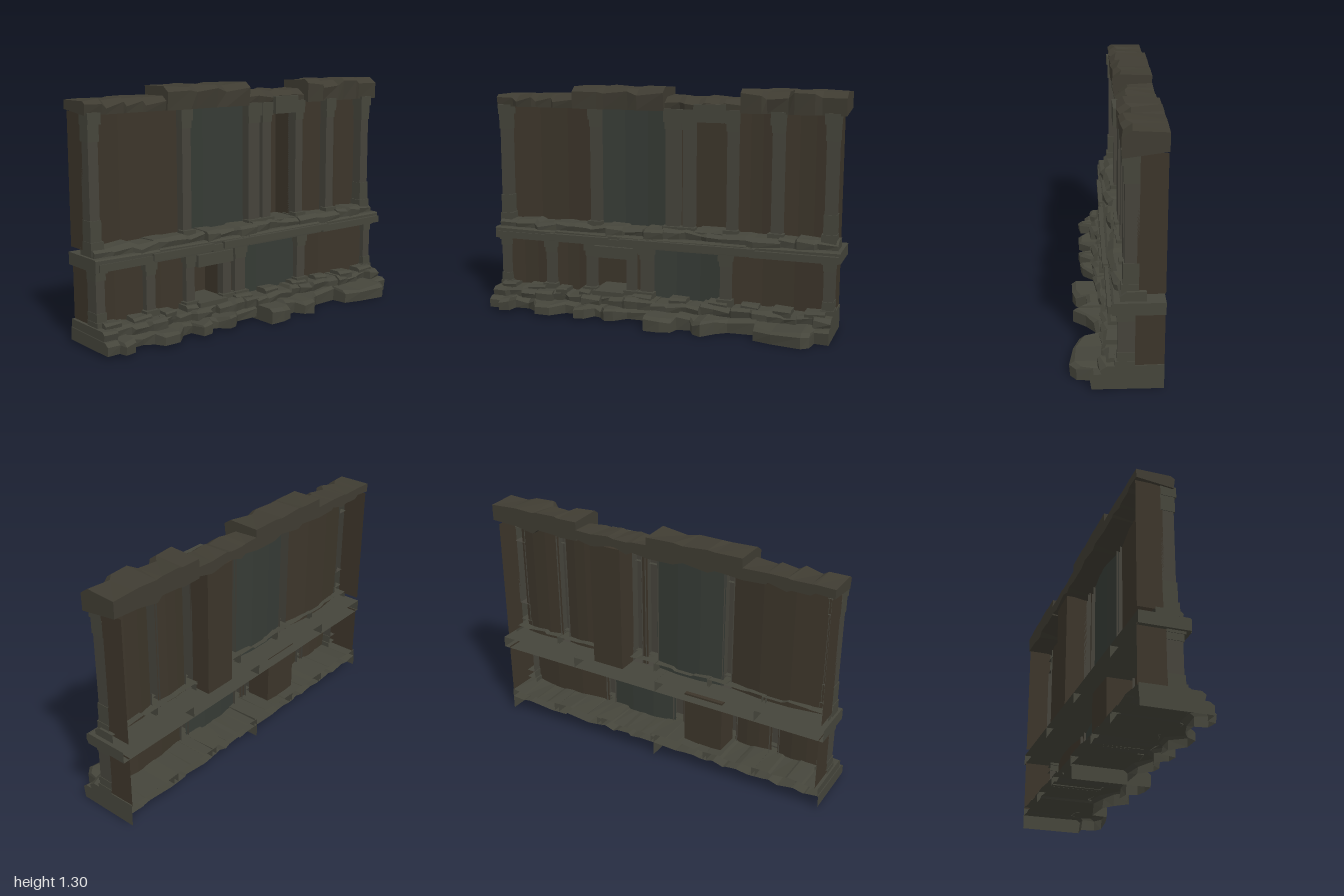
import * as THREE from 'three';

const mat = (color) => new THREE.MeshStandardMaterial({ color, flatShading: true, side: THREE.DoubleSide });
const BACK = -0.225;

export function createModel() {
  const root = new THREE.Group();
  const stoneMat = mat(0x45453b), trimMat = mat(0x45433b), capMat = mat(0x3f3c32);
  const brown = mat(0x3c352a), green = mat(0x363b35);

  let seed = 7;
  const rnd = () => (seed = (seed * 16807) % 2147483647) / 2147483647;

  const group = (name) => {
    const g = new THREE.Group();
    g.name = name;
    root.add(g);
    return g;
  };
  const add = (parent, geo, material, name) => {
    const m = new THREE.Mesh(geo, material);
    m.name = name;
    parent.add(m);
    return m;
  };

  // Irregular row of stones: a chamfered side profile swept through [x, frontZ, topY] sections.
  // The underside and the back are optional; lift raises the rear bottom edge at random.
  function rock(parent, name, sections, y0, { j = 0.012, c = 0.02, zb = BACK, under = false, back = false, lift = 0, material = stoneMat } = {}) {
    const pos = [], idx = [], K = 5, n = sections.length - 1;
    for (const [x, zf, top] of sections) {
      const z = zf - rnd() * j, y = top - rnd() * j, cc = c * (0.5 + rnd());
      const profile = [[zb, y0 + rnd() * lift], [z - rnd() * j, y0], [z, y - cc], [z - cc * 1.4, y], [zb, top - rnd() * j * 0.8]];
      profile.forEach(([pz, py]) => pos.push(x, py, pz));
    }
    for (let i = 0; i < n; i++) {
      for (let k = under ? 0 : 1; k < (back ? K : K - 1); k++) {
        const a = i * K + k, d = i * K + (k + 1) % K;
        idx.push(a, a + K, d + K, a, d + K, d);
      }
    }
    for (let k = 1; k < K - 1; k++) idx.push(0, k, k + 1, n * K, n * K + k + 1, n * K + k);
    const geo = new THREE.BufferGeometry();
    geo.setAttribute('position', new THREE.Float32BufferAttribute(pos, 3));
    geo.setIndex(idx);
    geo.computeVertexNormals();
    add(parent, geo, material, name);
  }

  // Sections of a row between x0 and x1: stones of varying depth with narrow joints
  function row(x0, x1, count, z, top, vary) {
    const w = (x1 - x0) / count, out = [];
    for (let i = 0; i < count; i++) {
      const dz = rnd() * vary, dy = rnd() * vary * 0.35;
      const a = x0 + i * w, shift = i ? (rnd() - 0.5) * w * 0.3 : 0;
      out.push([a + shift, z - dz, top - dy], [a + w * (i < count - 1 ? 0.82 : 1), z - dz - rnd() * vary * 0.3, top - dy]);
    }
    return out;
  }

  // Box without its back face
  function block(parent, name, x0, x1, y0, y1, z0, z1, material = trimMat) {
    const geo = new THREE.BoxGeometry(x1 - x0, y1 - y0, z1 - z0);
    geo.setIndex(Array.from(geo.index.array).slice(0, 30));
    geo.clearGroups();
    geo.translate((x0 + x1) / 2, (y0 + y1) / 2, (z0 + z1) / 2);
    add(parent, geo, material, name);
  }

  // Wall panel bowed slightly inward in vertical facets
  function panel(parent, x0, x1, y0, y1, z, material) {
    const w = x1 - x0, geo = new THREE.PlaneGeometry(w, y1 - y0, 3, 1);
    const p = geo.attributes.position;
    for (let i = 0; i < p.count; i++) {
      const t = p.getX(i) / w * 2;
      p.setZ(i, -w * 0.05 * (1 - t * t));
    }
    geo.translate((x0 + x1) / 2, (y0 + y1) / 2, z);
    geo.computeVertexNormals();
    add(parent, geo, material, 'wallPanel');
  }

  // Recess that is open at the front
  function niche(parent, x0, x1, y0, y1, z0, z1) {
    const geo = new THREE.BoxGeometry(x1 - x0, y1 - y0, z1 - z0);
    const a = Array.from(geo.index.array);
    geo.setIndex([...a.slice(0, 24), ...a.slice(30)]);
    geo.clearGroups();
    geo.translate((x0 + x1) / 2, (y0 + y1) / 2, (z0 + z1) / 2);
    add(parent, geo, brown, 'niche');
  }

  // Pilaster with a small capital, neck and foot in front of the shaft
  function pilaster(parent, x0, x1, y0, y1, z0, z1) {
    const h = Math.min(0.055, (y1 - y0) * 0.13), g = new THREE.Group();
    g.name = 'pilaster';
    parent.add(g);
    block(g, 'shaft', x0, x1, y0, y1, z0, z1);
    block(g, 'capital', x0 - 0.01, x1 + 0.008, y1 - h * 1.3, y1, z1 - 0.03, z1 + 0.012, stoneMat);
    block(g, 'neck', x0 - 0.003, x1 + 0.002, y1 - h * 2, y1 - h * 1.3, z1 - 0.02, z1 + 0.006, stoneMat);
    block(g, 'foot', x0 - 0.014, x1 + 0.012, y0, y0 + h, z1 - 0.03, z1 + 0.02, stoneMat);
  }

  // Corner pier: staggered stones beside the end wall
  function corner(parent, side, outer, inner, y0, y1, z0, z1) {
    const cuts = [0, 0.1, 0.25, 0.8, 0.92, 1];
    for (let i = 0; i < 5; i++) {
      const mid = i === 2, odd = i % 2;
      const xi = inner - (mid ? 0 : odd ? 0.004 : 0.012), xo = outer + (mid ? 0 : odd ? 0.003 : 0.006);
      const [a, b] = side > 0 ? [xi, xo] : [-xo, -xi], h = y1 - y0;
      block(parent, 'cornerStone', a, b, y0 + h * cuts[i], y0 + h * cuts[i + 1],
        z0, z1 + (mid ? 0 : odd ? 0.006 : 0.014), mid ? trimMat : stoneMat);
    }
  }

  function endWall(parent, x, y0, y1, z) {
    const geo = new THREE.PlaneGeometry(z - BACK, y1 - y0).rotateY(Math.sign(x) * Math.PI / 2);
    geo.translate(x, (y0 + y1) / 2, (z + BACK) / 2);
    add(parent, geo, brown, 'endWall');
  }

  // Upper storey
  const upper = group('upperStorey');
  const uy0 = 0.48, uy1 = 1.18, uz = -0.09;
  [[-0.935, -0.425, brown], [-0.375, 0.03, green], [0.09, 0.13, brown], [0.42, 0.62, brown], [0.665, 0.92, brown]]
    .forEach(([a, b, m]) => panel(upper, a, b, uy0, uy1, uz, m));
  [[-0.425, -0.37], [0.022, 0.1], [0.122, 0.185], [0.37, 0.425], [0.615, 0.675]]
    .forEach(([a, b]) => pilaster(upper, a, b, uy0, uy1, uz - 0.012, -0.04));
  niche(upper, 0.185, 0.37, uy0, uy1, -0.21, uz);
  block(upper, 'nicheLintel', 0.19, 0.36, 1.115, 1.21, -0.1, -0.005, stoneMat);
  block(upper, 'nicheSill', 0.19, 0.365, 0.485, 0.515, -0.2, -0.015, stoneMat);
  corner(upper, -1, 0.985, 0.93, uy0, uy1, -0.1, -0.032);
  corner(upper, 1, 0.962, 0.9, uy0, uy1, -0.1, -0.032);
  endWall(upper, -0.985, 0.5, uy1, uz);
  endWall(upper, 0.962, 0.5, uy1, uz);

  // Lower storey
  const lower = group('lowerStorey');
  const ly0 = 0.12, ly1 = 0.42, lz = -0.03;
  [[-0.935, -0.68, brown], [-0.645, -0.43, brown], [-0.05, 0.36, green], [0.4, 0.92, brown], [-0.15, -0.1, brown]]
    .forEach(([a, b, m]) => panel(lower, a, b, ly0, ly1, lz, m));
  [[-0.69, -0.635], [-0.44, -0.385], [-0.195, -0.14], [-0.11, -0.04], [0.35, 0.41]]
    .forEach(([a, b]) => pilaster(lower, a, b, ly0, ly1, lz - 0.015, 0.002));
  niche(lower, -0.41, -0.185, ly0, ly1, -0.17, lz);
  block(lower, 'nicheLintel', -0.38, -0.145, 0.34, 0.405, -0.06, 0.03, stoneMat);
  block(lower, 'nicheSill', -0.385, -0.2, 0.125, 0.15, -0.16, 0.05, stoneMat);
  corner(lower, -1, 0.98, 0.93, ly0, ly1, -0.085, -0.004);
  corner(lower, 1, 0.963, 0.91, ly0, ly1, -0.085, -0.004);
  endWall(lower, -0.978, ly0, ly1, -0.02);
  endWall(lower, 0.962, ly0, ly1, -0.02);

  // Top cornice: alternating low and high runs
  const cornice = group('cornice');
  [[-1, -0.52, 4, 1.252, -0.015], [-0.525, 0.015, 3, 1.299, -0.002], [0.01, 0.45, 4, 1.252, -0.02], [0.445, 1, 4, 1.299, -0.002]]
    .forEach(([a, b, count, top, z]) => rock(cornice, 'corniceRun', row(a, b, count, z, top, 0.016), 1.168,
      { under: true, back: true, lift: 0.03, j: 0.016, c: 0.026, material: capMat }));

  // Middle string course: slabs, thin raised mouldings and loose stones above
  const course = group('stringCourse');
  [[-1, -0.62, 0.035], [-0.62, -0.03, 0.03], [-0.03, 0.5, 0.036], [0.5, 1, 0.03]]
    .forEach(([a, b, z]) => rock(course, 'courseSlab', [[a, z, 0.475], [b, z, 0.475]], 0.41, { under: true, j: 0.004, c: 0.008 }));
  [[-0.98, -0.66, 0.04], [-0.67, -0.29, 0.052], [-0.29, -0.2, 0.042], [-0.22, 0.55, 0.055], [0.52, 0.99, 0.046]]
    .forEach(([a, b, z], i) => block(course, 'moulding', a, b, 0.412 + (i % 2) * 0.012, 0.45 + (i % 2) * 0.01, -0.02, z, stoneMat));
  [[-0.985, -0.62, 3], [-0.64, -0.3, 3], [-0.31, 0.03, 3], [0.02, 0.38, 3], [0.36, 0.68, 2], [0.67, 0.98, 3]]
    .forEach(([a, b, count]) => rock(course, 'courseStones', row(a, b, count, 0.034, 0.53, 0.032), 0.46, { zb: -0.135, j: 0.014, c: 0.016 }));

  // Base: two rough ledges following their outline [x, frontZ]
  const base = group('base');
  const leftEdge = [[-1, 0.135], [-0.93, 0.135], [-0.92, 0.175], [-0.86, 0.17], [-0.85, 0.1], [-0.77, 0.1], [-0.72, 0.125],
    [-0.69, 0.17], [-0.6, 0.175], [-0.53, 0.105], [-0.47, 0.105], [-0.45, 0.175], [-0.39, 0.165], [-0.35, 0.105], [-0.31, 0.12],
    [-0.27, 0.175], [-0.22, 0.16], [-0.16, 0.09], [-0.02, 0.09]];
  const rightEdge = [[-0.02, 0.215], [0.07, 0.215], [0.13, 0.2], [0.145, 0.14], [0.22, 0.13], [0.25, 0.195], [0.3, 0.21], [0.36, 0.14],
    [0.42, 0.1], [0.57, 0.09], [0.58, 0.18], [0.68, 0.215], [0.84, 0.233], [0.88, 0.2], [0.89, 0.13], [0.967, 0.14]];
  [[leftEdge, 0.015], [rightEdge, 0]].forEach(([edge, y0]) =>
    rock(base, 'baseLedge', edge.map(([x, z], i) => [x, z, 0.087 - (i % 3) * 0.006]), y0, { j: 0.01, c: 0.014 }));

  // Step stones on the ledges, then small plinth stones against the wall
  [[-0.995, -0.62, 4], [-0.64, -0.33, 3], [-0.35, 0.0, 4], [-0.02, 0.36, 4], [0.33, 0.66, 3], [0.63, 0.967, 4]]
    .forEach(([a, b, count]) => rock(base, 'stepStones', row(a, b, count, 0.105, 0.138, 0.045), 0.075, { j: 0.014, c: 0.016 }));
  for (let x = -0.96; x < 0.9; x += 0.13 + rnd() * 0.1) {
    const z = 0.03 + rnd() * 0.035, w = 0.06 + rnd() * 0.06;
    rock(base, 'plinthStone', [[x, z, 0.152], [x + w, z, 0.15]], 0.1, { zb: -0.03, j: 0.01, c: 0.01 });
  }
  return root;
}
